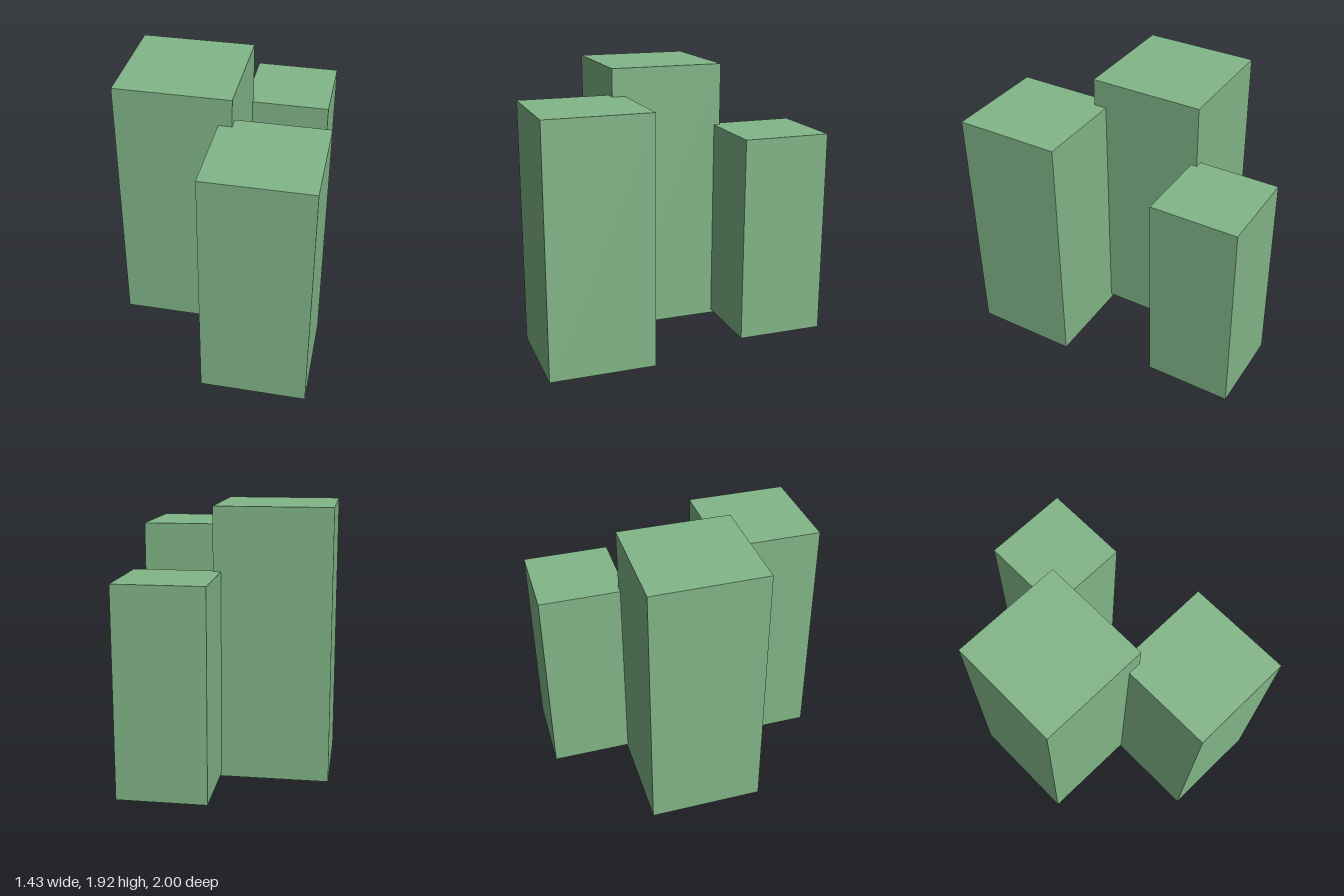
import * as THREE from 'three';

export function createModel() {
  const model = new THREE.Group();
  model.name = 'towerCluster';
  const green = new THREE.MeshStandardMaterial({ color: 0x82b688 });
  green.name = 'soft green';

  // Square block given its side, base height, top height and centre
  const addBlock = (name, side, bottom, top, x, z) => {
    const block = new THREE.Mesh(new THREE.BoxGeometry(side, top - bottom, side), green);
    block.name = name;
    block.position.set(x, (bottom + top) / 2, z);
    model.add(block);
  };

  addBlock('tallBlock', 0.798, 0.036, 1.918, -0.319, -0.038);
  addBlock('frontBlock', 0.73, 0, 1.724, 0.352, 0.635);
  addBlock('backBlock', 0.606, 0.06, 1.483, 0.328, -0.697);

  return model;
}
